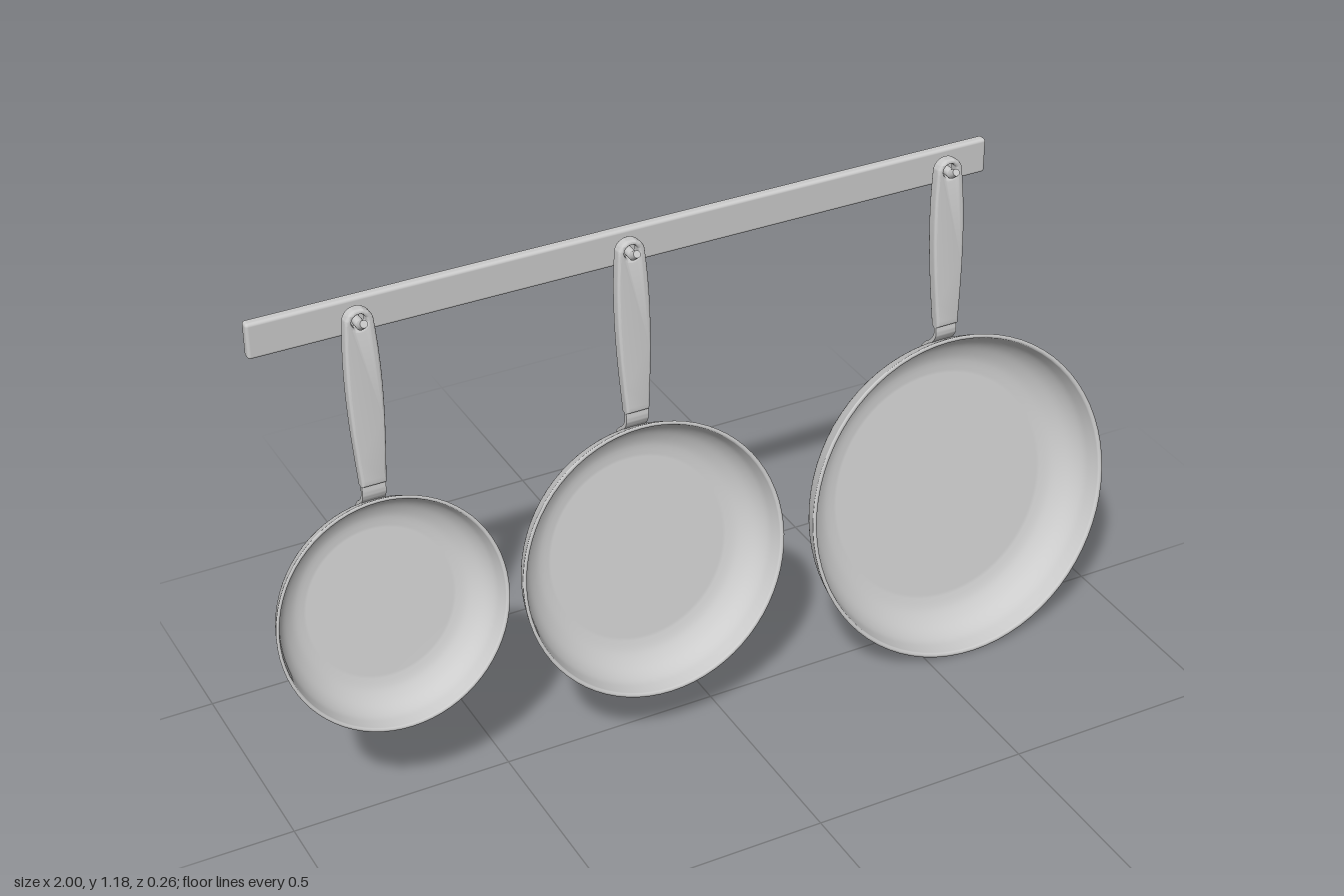
import * as THREE from 'three';
import { toCreasedNormals } from 'three/addons/utils/BufferGeometryUtils.js';
import { RoundedBoxGeometry } from 'three/addons/geometries/RoundedBoxGeometry.js';

const TILT = 0.225;             // lean of the pans
const RIM_Y = 0.745, RIM_Z = -0.04; // top point shared by all rims
const material = new THREE.MeshStandardMaterial({ color: 0xcccccc });

// wall profiles as [inset from the rim radius, depth behind the rim]
const OUTER = [[0.11, 0.11], [0.075, 0.103], [0.047, 0.0876], [0.028, 0.068], [0.014, 0.045], [0.006, 0.02], [0, 0]];
const INNER = [[0.009, 0], [0.015, 0.02], [0.023, 0.043], [0.038, 0.065], [0.057, 0.081], [0.083, 0.094], [0.115, 0.1]];

function add(parent, name, geometry) {
  const mesh = new THREE.Mesh(geometry, material);
  mesh.name = name;
  parent.add(mesh);
  return mesh;
}

function smooth(points, n) {
  return new THREE.SplineCurve(points).getPoints(n);
}

// shallow bowl with rounded wall, turned and leaned to face the front
function panGeometry(r, s) {
  const side = list => smooth(list.map(([i, d]) => new THREE.Vector2(r - i * s, -d * s)), 20);
  const profile = [
    new THREE.Vector2(0, -0.11 * s), ...side(OUTER),
    new THREE.Vector2(r - 0.0045 * s, 0.0015),
    ...side(INNER), new THREE.Vector2(0, -0.1 * s),
  ];
  return new THREE.LatheGeometry(profile, 72).rotateX(Math.PI / 2 - TILT);
}

// tapered grip with a rounded end and a hanging hole
function handleGeometry() {
  const shape = new THREE.Shape();
  shape.moveTo(-0.027, 0);
  shape.lineTo(0.027, 0);
  shape.bezierCurveTo(0.034, 0.1, 0.045, 0.23, 0.031, 0.37);
  shape.absarc(0, 0.37, 0.031, 0, Math.PI, false);
  shape.bezierCurveTo(-0.045, 0.23, -0.034, 0.1, -0.027, 0);
  const hole = new THREE.Path();
  hole.absarc(0, 0.373, 0.016, 0, Math.PI * 2, true);
  shape.holes.push(hole);
  const geometry = new THREE.ExtrudeGeometry(shape, {
    depth: 0.012, curveSegments: 20, bevelThickness: 0.008,
    bevelSize: 0.006, bevelOffset: -0.006, bevelSegments: 4,
  });
  return toCreasedNormals(geometry.translate(0, 0, -0.006), 0.6);
}

// bent metal strap running from the handle onto the back of the wall
function strapGeometry(s) {
  const wall = (i, d) => new THREE.Vector2(
    RIM_Z + i * s * Math.sin(TILT) - d * s * Math.cos(TILT),
    RIM_Y - i * s * Math.cos(TILT) - d * s * Math.sin(TILT));
  const path = new THREE.SplineCurve([
    new THREE.Vector2(-0.06, 0.8), new THREE.Vector2(-0.057, 0.775),
    new THREE.Vector2(-0.056, 0.752), wall(0.008, 0.035), wall(0.018, 0.056), wall(0.033, 0.076),
  ]);
  const front = [], back = [];
  for (let k = 0; k <= 24; k++) {
    const p = path.getPoint(k / 24), t = path.getTangent(k / 24);
    const n = new THREE.Vector2(-t.y, t.x).multiplyScalar(0.0045);
    front.push(p.clone().add(n));
    back.unshift(p.clone().sub(n));
  }
  const geometry = new THREE.ExtrudeGeometry(new THREE.Shape([...front, ...back]), {
    depth: 0.052, bevelEnabled: false,
  });
  return toCreasedNormals(geometry.translate(0, 0, -0.026).rotateY(-Math.PI / 2), 0.6);
}

// peg with an upturned tip
function buildHook(parent) {
  const hook = new THREE.Group();
  hook.name = 'hook';
  hook.position.set(0, 1.144, 0);
  parent.add(hook);
  const peg = add(hook, 'hookPeg', new THREE.CylinderGeometry(0.01, 0.01, 0.05, 20));
  peg.rotation.x = Math.PI / 2;
  peg.position.z = -0.085;
  add(hook, 'hookBend', new THREE.SphereGeometry(0.01, 20, 12)).position.z = -0.06;
  const tip = add(hook, 'hookTip', new THREE.CylinderGeometry(0.008, 0.01, 0.022, 20));
  tip.rotation.x = 1.0;
  tip.position.set(0, 0.006, -0.051);
}

export function createModel() {
  const model = new THREE.Group();
  model.name = 'hangingPanRack';

  const bar = add(model, 'wallBar', new RoundedBoxGeometry(1.695, 0.08, 0.024, 4, 0.007));
  bar.position.set(-0.1175, 1.14, -0.118);

  // [centre x, rim radius, depth scale]
  const pans = [['smallPan', -0.745, 0.258, 0.82], ['mediumPan', -0.147, 0.312, 0.91], ['largePan', 0.615, 0.381, 1]];
  for (const [name, x, r, s] of pans) {
    const group = new THREE.Group();
    group.name = name;
    group.position.x = x;
    model.add(group);

    add(group, 'panBowl', panGeometry(r, s)).position.set(
      0, RIM_Y - r * Math.cos(TILT), RIM_Z + r * Math.sin(TILT));
    add(group, 'handleStrap', strapGeometry(s));
    const handle = add(group, 'handle', handleGeometry());
    handle.position.set(0, 0.775, -0.058);
    handle.rotation.x = -0.051;
    buildHook(group);
  }
  return model;
}
